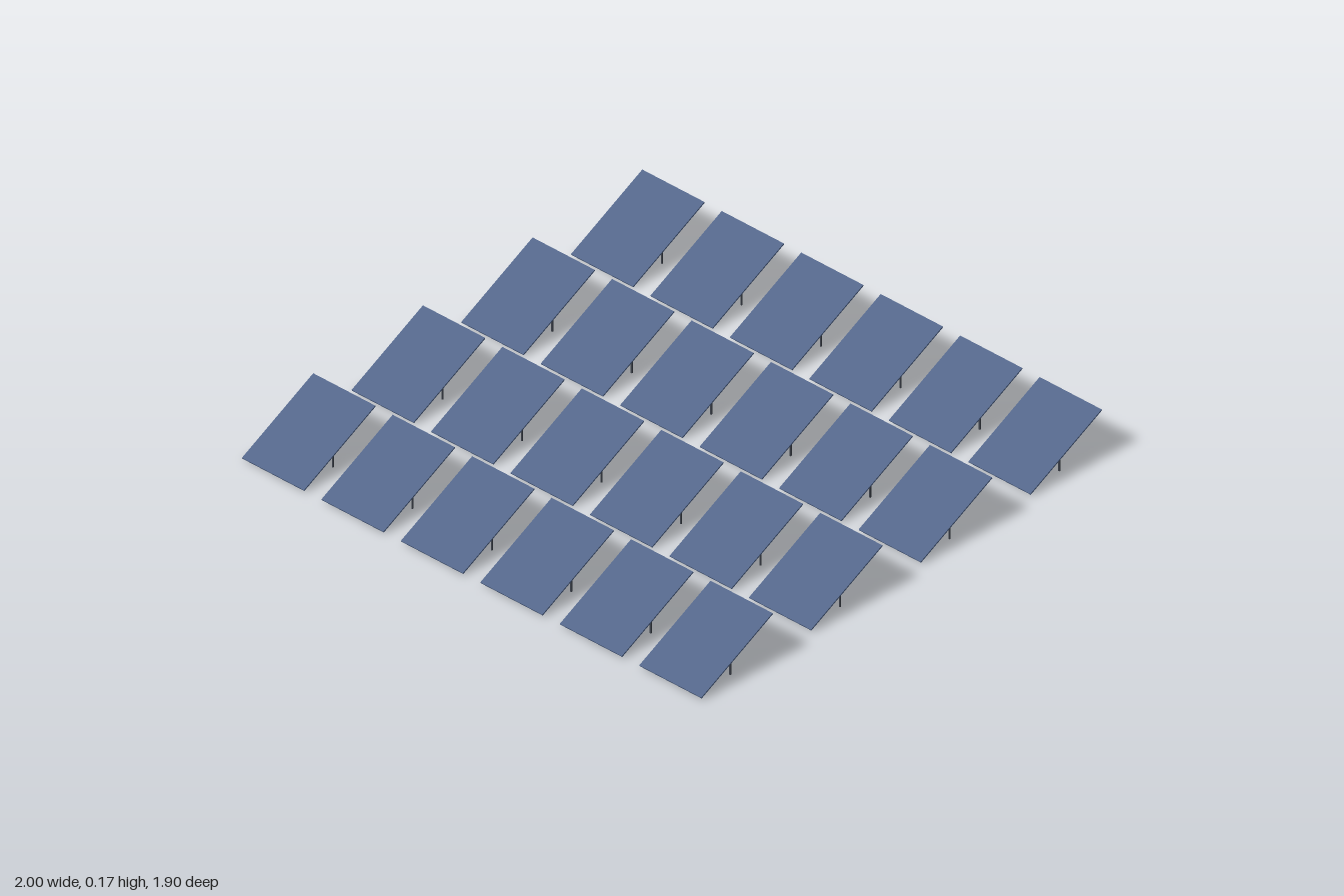
import * as THREE from 'three';

const COLUMNS = 6, ROWS = 4;
const PITCH_X = 0.346, PITCH_Z = 0.52;
const WIDTH = 0.27, LENGTH = 0.373, THICK = 0.005;
const TILT = THREE.MathUtils.degToRad(25);
const CENTRE_Y = 0.087;
const POST_X = 0.105, POST_SIZE = 0.005;

export function createModel() {
  const model = new THREE.Group();
  model.name = 'solarArray';

  const panelMaterial = new THREE.MeshStandardMaterial({ color: 0x4a5f85 });
  const postMaterial = new THREE.MeshStandardMaterial({ color: 0x3a3f48 });
  const panelGeometry = new THREE.BoxGeometry(WIDTH, THICK, LENGTH);
  const postGeometry = new THREE.BoxGeometry(POST_SIZE, CENTRE_Y, POST_SIZE);

  // One tilted panel on a pair of posts, low edge to the front
  function createUnit() {
    const unit = new THREE.Group();
    unit.name = 'solarPanelUnit';

    const panel = new THREE.Mesh(panelGeometry, panelMaterial);
    panel.name = 'panel';
    panel.position.y = CENTRE_Y;
    panel.rotation.x = TILT;
    unit.add(panel);

    for (const side of [-1, 1]) {
      const post = new THREE.Mesh(postGeometry, postMaterial);
      post.name = side > 0 ? 'leftPost' : 'rightPost';
      post.position.set(side * POST_X, CENTRE_Y / 2, 0);
      unit.add(post);
    }
    return unit;
  }

  // Rows of panels, centred on the origin
  for (let r = 0; r < ROWS; r++) {
    const row = new THREE.Group();
    row.name = 'panelRow';
    row.position.z = (r - (ROWS - 1) / 2) * PITCH_Z;
    for (let c = 0; c < COLUMNS; c++) {
      const unit = createUnit();
      unit.position.x = (c - (COLUMNS - 1) / 2) * PITCH_X;
      row.add(unit);
    }
    model.add(row);
  }
  return model;
}
